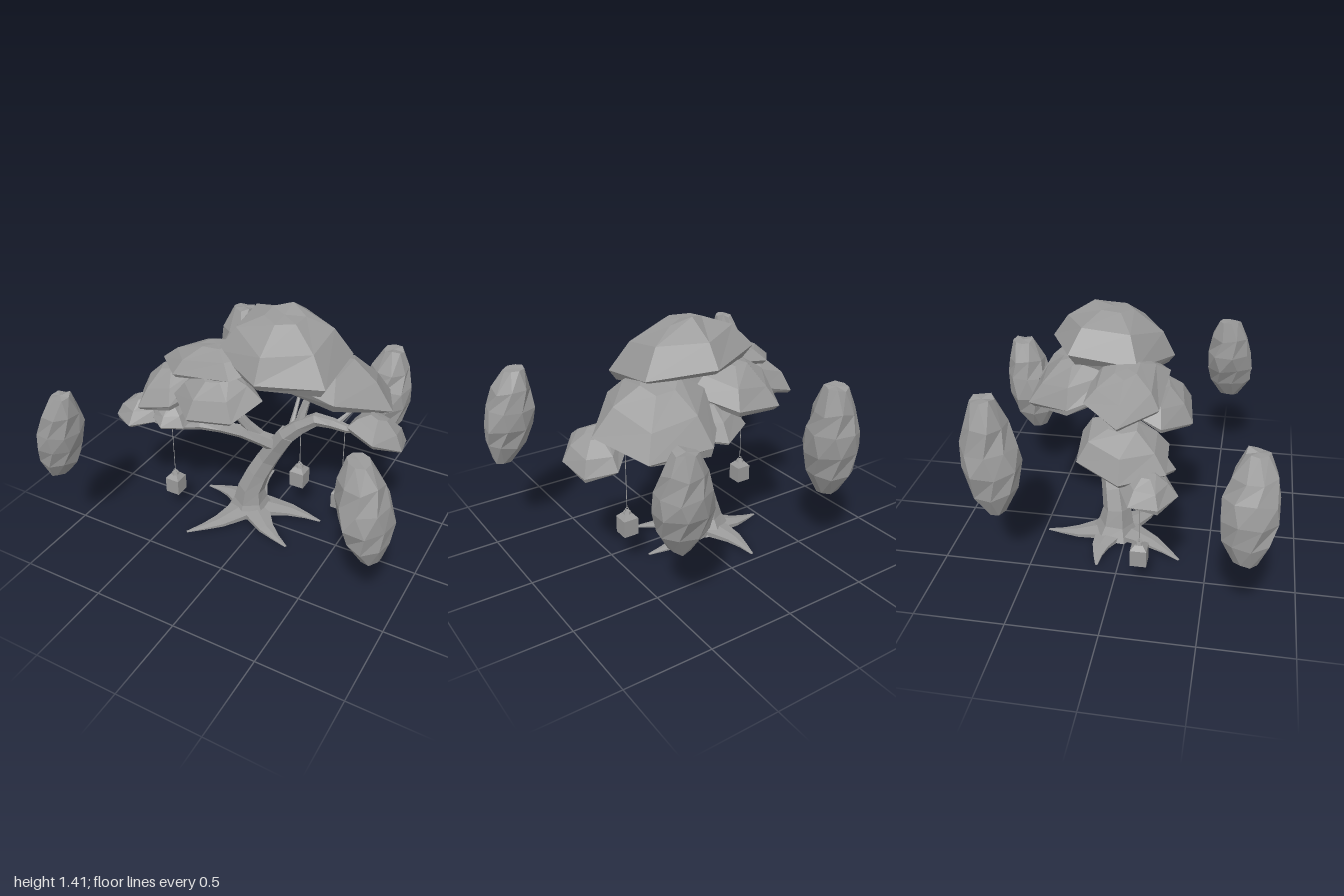
import * as THREE from 'three';

const V = (x, y, z) => new THREE.Vector3(x, y, z);
const grey = new THREE.MeshStandardMaterial({ color: 0x999999, flatShading: true });

// Small seeded jitter in the range -1..1
let seed = 1;
const jitter = () => {
  seed = (seed * 16807) % 2147483647;
  return (seed / 2147483647) * 2 - 1;
};

// Ring of n points, each placed by a rule of the angle
const ring = (n, place, turn = 0) => Array.from({ length: n }, (_, i) => {
  const a = ((i + 0.5) / n) * Math.PI * 2 + turn;
  return place(Math.cos(a), Math.sin(a));
});

// Closed skin through a stack of rings that all have the same number of points
function loft(name, rings) {
  const pos = [];
  const tri = (...pts) => pts.forEach((p) => pos.push(p.x, p.y, p.z));
  const middle = (r) => r.reduce((s, p) => s.add(p), V(0, 0, 0)).divideScalar(r.length);
  const first = rings[0], last = rings[rings.length - 1];
  const foot = middle(first), head = middle(last);
  first.forEach((_, i) => {
    const j = (i + 1) % first.length;
    tri(foot, first[i], first[j]);
    tri(head, last[j], last[i]);
    for (let k = 1; k < rings.length; k++) {
      const p = rings[k - 1], q = rings[k];
      tri(p[i], q[i], p[j]);
      tri(p[j], q[i], q[j]);
    }
  });
  const geometry = new THREE.BufferGeometry();
  geometry.setAttribute('position', new THREE.Float32BufferAttribute(pos, 3));
  geometry.computeVertexNormals();
  const mesh = new THREE.Mesh(geometry, grey);
  mesh.name = name;
  return mesh;
}

// Limb along a curve; radius(t) sets the taper and flat squashes the section
function limb(name, path, radius, ref = V(0, 0, 1), flat = 1) {
  const curve = new THREE.CatmullRomCurve3(path);
  const steps = path.length * 2 - 2;
  return loft(name, Array.from({ length: steps + 1 }, (_, k) => {
    const t = k / steps, c = curve.getPoint(t), T = curve.getTangent(t);
    const u = T.clone().cross(ref).normalize(), v = u.clone().cross(T);
    return ring(6, (cos, sin) => c.clone().addScaledVector(u, cos * radius(t)).addScaledVector(v, sin * radius(t) * flat));
  }));
}
const taper = (a, b) => (t) => a + (b - a) * t;

// Faceted foliage dome: rim centre, radii, height, slope along x and z, turn
function dome(name, x, y, z, rx, rz, h, sx, sz, turn = 0) {
  const level = (s, t) => ring(6, (cos, sin) => {
    const w = s * (1 + 0.06 * jitter());
    const dx = cos * rx * w, dz = sin * rz * w;
    return V(x + dx, y + h * (t + 0.06 * jitter()) + dx * sx + dz * sz, z + dz);
  }, turn);
  return loft(name, [level(0.4, 0.12), level(0.9, -0.05), level(1, 0.12), level(0.72, 0.62), level(0.3, 0.97)]);
}

// Floating boulder: centre, foot and head heights, radii, lean along x and z
function rock(x, z, y0, y1, rx, rz, leanX, leanZ) {
  const levels = 6;
  return loft('floatingRock', Array.from({ length: levels }, (_, k) => {
    const t = k / (levels - 1), s = 0.42 + 0.6 * Math.sin(Math.PI * t ** 0.9) ** 0.8;
    return ring(8, (cos, sin) => {
      const w = s * (1 + 0.08 * jitter());
      return V(x + leanX * (t - 0.5) + cos * rx * w, y0 + (y1 - y0) * (t + 0.025 * jitter()), z + leanZ * (t - 0.5) + sin * rz * w);
    }, (k % 2) * 0.25);
  }));
}

// Hanging lantern with its cord
function lantern(x, y, z, cordTop) {
  const group = new THREE.Group();
  group.name = 'lantern';
  const add = (name, geometry, height) => {
    const mesh = new THREE.Mesh(geometry, grey);
    mesh.name = name;
    mesh.position.y = height;
    group.add(mesh);
  };
  add('lanternBody', new THREE.BoxGeometry(0.09, 0.1, 0.09), 0.05);
  add('lanternRoof', new THREE.CylinderGeometry(0.032, 0.064, 0.025, 4).rotateY(Math.PI / 4), 0.1125);
  add('lanternCap', new THREE.CylinderGeometry(0.02, 0.026, 0.015, 6), 0.132);
  add('lanternRing', new THREE.TorusGeometry(0.011, 0.003, 4, 8), 0.148);
  const length = cordTop - y - 0.155;
  add('cord', new THREE.CylinderGeometry(0.0025, 0.0025, length, 4), 0.155 + length / 2);
  group.position.set(x, y, z);
  return group;
}

export function createModel() {
  const tree = new THREE.Group();
  tree.name = 'lanternTree';

  // Trunk, flared at the foot and leaning to the left
  tree.add(limb('trunk',
    [V(-0.12, 0.01, -0.07), V(-0.11, 0.18, -0.06), V(-0.02, 0.4, -0.105), V(0.11, 0.62, -0.1)],
    (t) => 0.088 - 0.028 * t + 0.06 * (1 - t) ** 6));

  // Main branches to both sides
  tree.add(
    limb('leftBranch', [V(0.04, 0.52, -0.1), V(-0.14, 0.615, 0), V(-0.35, 0.665, 0.12), V(-0.5, 0.62, 0.15), V(-0.73, 0.67, 0.22)], taper(0.052, 0.006)),
    limb('rightBranch', [V(0.09, 0.59, -0.1), V(0.28, 0.755, -0.13), V(0.47, 0.745, -0.14), V(0.63, 0.78, -0.15)], taper(0.056, 0.01)),
    limb('leftRisingBranch', [V(-0.05, 0.58, -0.06), V(-0.165, 0.74, 0.01), V(-0.17, 0.87, 0.02), V(-0.1, 1.06, -0.02)], taper(0.036, 0.012)),
    limb('rightRisingBranch', [V(0.18, 0.67, -0.11), V(0.205, 0.86, -0.17), V(0.3, 1.0, -0.24)], taper(0.032, 0.01)),
  );

  // Thin twigs into the foliage
  [
    [V(-0.17, 0.84, 0.02), V(-0.27, 1.02, 0.06)],
    [V(0.12, 0.62, -0.11), V(0.1, 0.86, -0.32)],
    [V(-0.35, 0.66, 0.12), V(-0.5, 0.72, 0.08), V(-0.55, 0.84, 0.06)],
    [V(-0.5, 0.63, 0.145), V(-0.68, 0.69, 0.09)],
    [V(0.4, 0.755, -0.14), V(0.5, 0.87, -0.25)],
  ].forEach((path) => tree.add(limb('twig', path, taper(0.02, 0.007))));

  // Roots, spread like a star with a slight bend
  const foot = V(-0.11, 0.035, -0.07), up = V(0, 1, 0);
  [[-0.34, 0.34], [0.25, 0.17], [0.33, -0.14], [-0.46, -0.12], [-0.17, -0.47]].forEach(([x, z], k) => {
    const tip = V(x, 0.012, z), bend = k % 2 ? 0.03 : -0.03;
    const side = tip.clone().sub(foot).cross(up).setLength(bend);
    const knee = foot.clone().lerp(tip, 0.55).add(side);
    tree.add(limb('root', [foot, knee, tip], (t) => 0.008 + 0.11 * (1 - t) ** 1.2, up, 0.34));
  });

  // Foliage, from the crown down to the small low clumps
  tree.add(
    dome('crownFoliage', 0.08, 1.12, -0.1, 0.38, 0.36, 0.27, -0.09, -0.14),
    dome('rightUpperFoliage', 0.33, 0.88, -0.28, 0.36, 0.34, 0.26, -0.13, 0.27, -0.35),
    dome('leftUpperFoliage', -0.28, 1.05, 0.03, 0.37, 0.23, 0.13, 0.17, -0.05, 0.5),
    dome('backFoliage', -0.14, 0.96, -0.28, 0.27, 0.27, 0.2, 0.1, 0.2, 0.5),
    dome('frontFoliage', -0.19, 0.92, 0.19, 0.27, 0.21, 0.17, 0.05, -0.3, 0.3),
    dome('leftFoliage', -0.56, 0.81, 0.06, 0.22, 0.27, 0.19, 0.28, -0.1, 0.5),
    dome('lowBackFoliage', 0.07, 0.84, -0.34, 0.2, 0.2, 0.16, 0, 0.2),
    dome('lowLeftFoliage', -0.69, 0.69, 0.2, 0.17, 0.15, 0.12, 0.12, -0.1),
    dome('lowLeftFoliage', -0.49, 0.72, 0.2, 0.13, 0.12, 0.1, -0.1, -0.1),
    dome('lowRightFoliage', 0.65, 0.74, -0.15, 0.18, 0.19, 0.14, -0.25, 0.3, -0.2),
  );

  // Lanterns
  tree.add(lantern(-0.54, 0.13, 0.14, 0.63), lantern(0.46, 0.2, -0.13, 0.75), lantern(0.17, 0.24, -0.16, 0.7));

  // Four floating rocks around the tree
  tree.add(
    rock(-0.53, -0.67, 0.41, 1.05, 0.155, 0.155, 0.04, -0.05),
    rock(0.48, -0.72, 0.4, 0.97, 0.155, 0.145, 0.02, -0.08),
    rock(-0.87, 0.72, 0.51, 1.05, 0.12, 0.14, 0.1, 0.02),
    rock(0.845, 0.525, 0.51, 1.05, 0.14, 0.15, -0.1, -0.02),
  );
  return tree;
}
